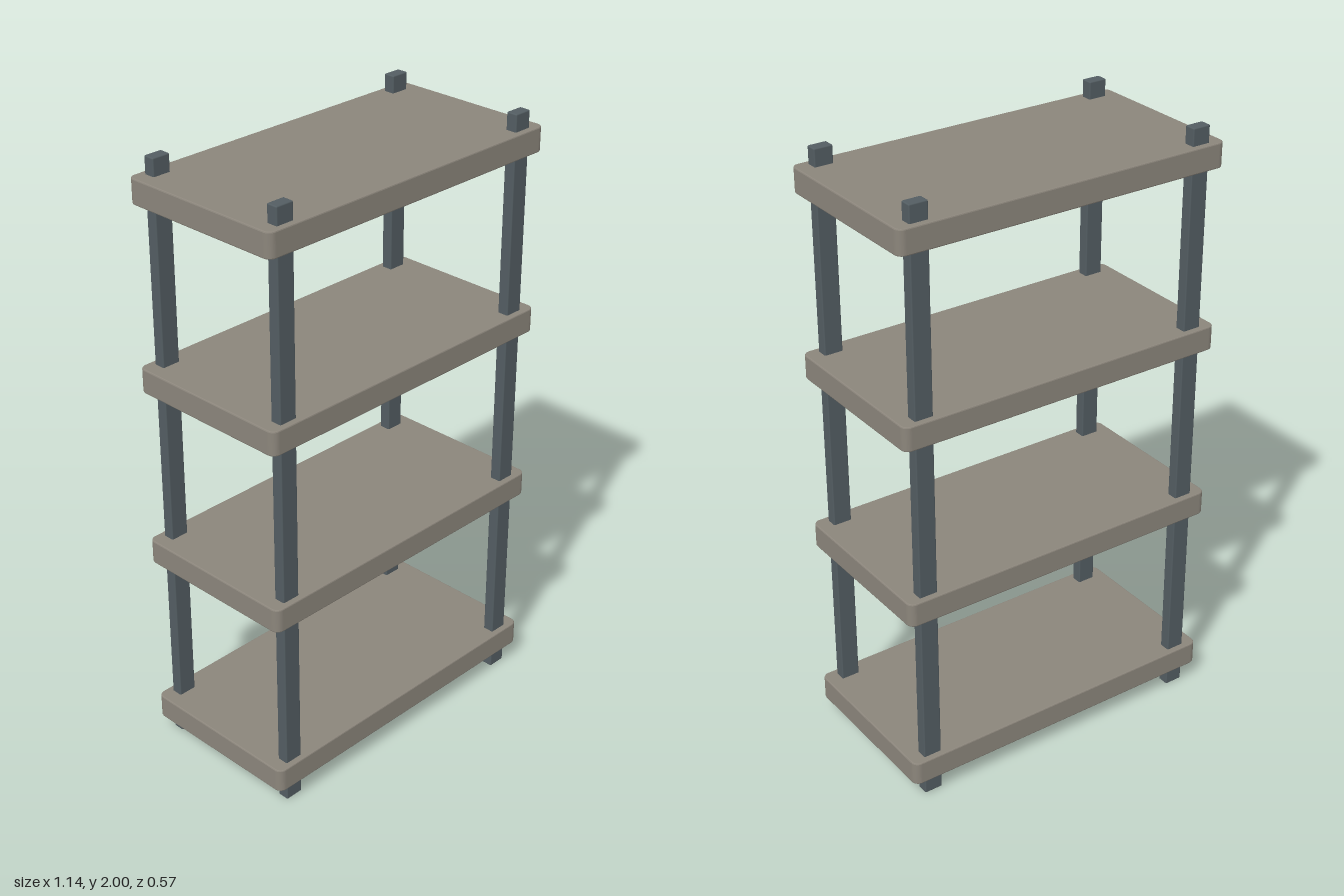
import * as THREE from 'three';
import { RoundedBoxGeometry } from 'three/addons/geometries/RoundedBoxGeometry.js';

const shelfMaterial = new THREE.MeshStandardMaterial({ color: 0x8b857b });
shelfMaterial.name = 'warm grey shelf';
const postMaterial = new THREE.MeshStandardMaterial({ color: 0x535d62 });
postMaterial.name = 'slate post';

const WIDTH = 1.136, DEPTH = 0.574, THICKNESS = 0.08;

// Flat board with rounded corners in plan and a fine bevel, centred on its origin
function boardGeometry(width, depth, thickness, radius, bevel) {
  const x = width / 2 - bevel, z = depth / 2 - bevel, r = radius - bevel;
  const outline = new THREE.Shape();
  outline.absarc(x - r, z - r, r, 0, Math.PI / 2);
  outline.absarc(-x + r, z - r, r, Math.PI / 2, Math.PI);
  outline.absarc(-x + r, -z + r, r, Math.PI, Math.PI * 1.5);
  outline.absarc(x - r, -z + r, r, Math.PI * 1.5, Math.PI * 2);
  outline.closePath();
  const geometry = new THREE.ExtrudeGeometry(outline, {
    depth: thickness - 2 * bevel, bevelThickness: bevel, bevelSize: bevel,
    bevelSegments: 2, curveSegments: 6,
  });
  geometry.translate(0, 0, bevel - thickness / 2);
  geometry.rotateX(-Math.PI / 2);
  return geometry;
}

export function createModel() {
  const group = new THREE.Group();
  group.name = 'shelvingUnit';

  // Four evenly spaced shelves
  const board = boardGeometry(WIDTH, DEPTH, THICKNESS, 0.025, 0.004);
  for (let i = 0; i < 4; i++) {
    const shelf = new THREE.Mesh(board, shelfMaterial);
    shelf.name = `shelf${i + 1}`;
    shelf.position.y = 0.104 + i * 0.6;
    group.add(shelf);
  }

  // Four corner posts running through the shelves
  const postGeometry = new RoundedBoxGeometry(0.062, 2, 0.038, 2, 0.004);
  for (const [side, sx] of [['Left', 1], ['Right', -1]]) {
    for (const [end, sz] of [['front', 1], ['back', -1]]) {
      const post = new THREE.Mesh(postGeometry, postMaterial);
      post.name = `${end}${side}Post`;
      post.position.set(sx * 0.49, 1, sz * 0.248);
      group.add(post);
    }
  }
  return group;
}
